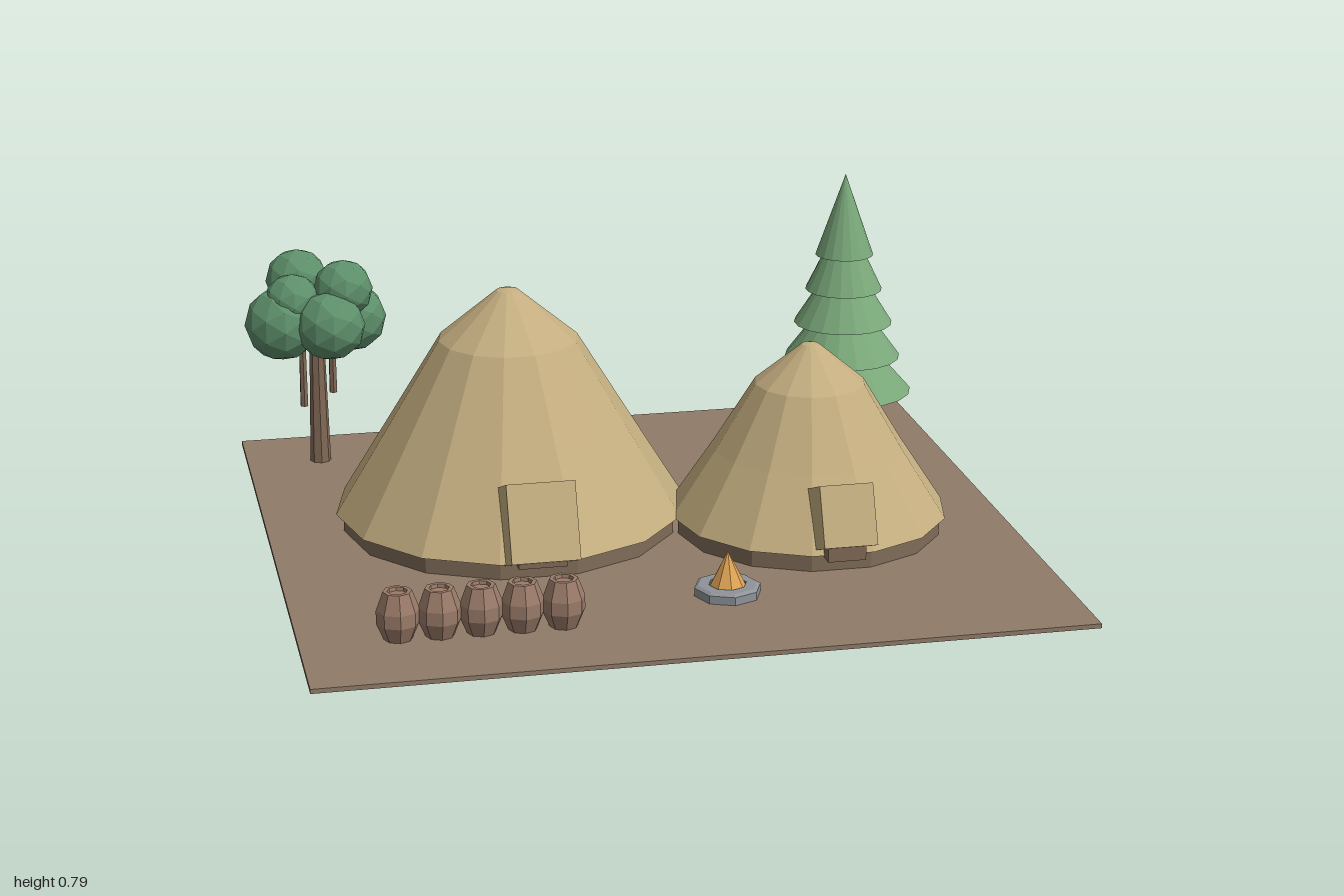
import * as THREE from 'three';

const mat = (color) => new THREE.MeshStandardMaterial({ color, flatShading: true, side: THREE.DoubleSide });
const M = {
  earth: mat(0x8f7b68), thatch: mat(0xc4ae80), wall: mat(0x806c58), wood: mat(0x836a57),
  clay: mat(0x9a7b69), stone: mat(0x8f9499), fire: mat(0xe0a455), pine: mat(0x7aa87a), leaf: mat(0x5d8f6a),
};

function add(parent, name, geometry, material, x = 0, y = 0, z = 0) {
  const mesh = new THREE.Mesh(geometry, material);
  mesh.name = name;
  mesh.position.set(x, y, z);
  parent.add(mesh);
  return mesh;
}

function group(parent, name, x = 0, z = 0) {
  const g = new THREE.Group();
  g.name = name;
  g.position.set(x, 0, z);
  parent.add(g);
  return g;
}

const lathe = (points, sides) =>
  new THREE.LatheGeometry(points.map(([r, y]) => new THREE.Vector2(r, y)), sides);

// Thatched hut with a low wall, tilted porch hood and a small door
function hut(parent, name, x, z, s, porchY) {
  const g = group(parent, name, x, z);
  const roof = [[0.48, 0.06 / s], [0.33, 0.305], [0.19, 0.535], [0.03, 0.668], [0, 0.675]]
    .map(([r, y]) => [r * s, y * s]);
  add(g, 'thatchedRoof', lathe(roof, 14), M.thatch).rotation.y = Math.PI / 2;
  add(g, 'lowWall', new THREE.CylinderGeometry(0.46 * s, 0.46 * s, 0.065, 14), M.wall, 0, 0.037, 0).rotation.y = Math.PI / 2;

  const tilt = 0.39, depth = 0.2 * s;
  const hood = add(g, 'porchHood', new THREE.BoxGeometry(0.182 * s, 0.207 * s, depth), M.thatch,
    0, porchY - depth / 2 * Math.sin(tilt), 0.525 * s - depth / 2 * Math.cos(tilt));
  hood.rotation.x = -tilt;
  add(g, 'door', new THREE.BoxGeometry(0.13 * s, 0.1, 0.08 * s), M.wood, 0, porchY - 0.08, 0.475 * s);
}

// Conifer of stacked cones: [radius, base height, cone height]
function conifer(parent, x, z) {
  const g = group(parent, 'conifer', x, z);
  add(g, 'coniferTrunk', new THREE.CylinderGeometry(0.033, 0.038, 0.2, 8), M.wood, 0, 0.1, 0);
  const tiers = [[0.205, 0.13, 0.23], [0.17, 0.235, 0.23], [0.145, 0.338, 0.23], [0.113, 0.44, 0.235], [0.085, 0.545, 0.242]];
  for (const [r, y, h] of tiers) {
    add(g, 'needleTier', new THREE.ConeGeometry(r, h, 18), M.pine, 0, y + h / 2, 0);
  }
}

// Broadleaf tree with faceted leaf clumps: [x, y, z, radius]
function broadleaf(parent) {
  const g = group(parent, 'broadleafTree');
  add(g, 'trunk', new THREE.CylinderGeometry(0.02, 0.03, 0.43, 8), M.wood, -0.79, 0.22, -0.72);
  add(g, 'branch', new THREE.CylinderGeometry(0.01, 0.012, 0.22, 6), M.wood, -0.835, 0.3, -0.69);
  add(g, 'branch', new THREE.CylinderGeometry(0.01, 0.012, 0.2, 6), M.wood, -0.745, 0.31, -0.74);
  const clumps = [
    [-0.89, 0.44, -0.69, 0.107], [-0.76, 0.445, -0.625, 0.1], [-0.685, 0.43, -0.75, 0.1],
    [-0.76, 0.455, -0.83, 0.1], [-0.835, 0.54, -0.785, 0.09], [-0.715, 0.535, -0.68, 0.085],
    [-0.86, 0.505, -0.685, 0.08],
  ];
  for (const [x, y, z, r] of clumps) {
    add(g, 'leafClump', new THREE.IcosahedronGeometry(r, 1), M.leaf, x, y, z);
  }
}

export function createModel() {
  const model = new THREE.Group();
  model.name = 'hutVillage';

  add(model, 'ground', new THREE.BoxGeometry(2, 0.012, 1.865), M.earth, 0, 0.006, 0);
  hut(model, 'largeHut', -0.333, -0.125, 1, 0.1925);
  hut(model, 'smallHut', 0.457, 0.08, 0.79, 0.185);
  conifer(model, 0.77, -0.71);
  broadleaf(model);

  // Row of clay pots
  const pots = group(model, 'potRow', -0.75, 0.66);
  const pot = lathe([[0, 0.01], [0.036, 0.01], [0.055, 0.055], [0.055, 0.09], [0.037, 0.139], [0.026, 0.139], [0.024, 0.13], [0, 0.13]], 8);
  for (let i = 0; i < 5; i++) add(pots, 'pot', pot, M.clay, i * 0.105, 0, 0);

  // Campfire in a stone ring
  const camp = group(model, 'campfire', 0.123, 0.537);
  add(camp, 'stoneRing', lathe([[0.05, 0.012], [0.088, 0.012], [0.088, 0.034], [0.078, 0.04], [0.05, 0.04], [0.05, 0.012]], 8), M.stone);
  add(camp, 'ashBed', new THREE.CylinderGeometry(0.052, 0.052, 0.02, 8), M.stone, 0, 0.022, 0);
  add(camp, 'flame', new THREE.ConeGeometry(0.05, 0.1, 8), M.fire, 0, 0.08, 0);

  return model;
}
